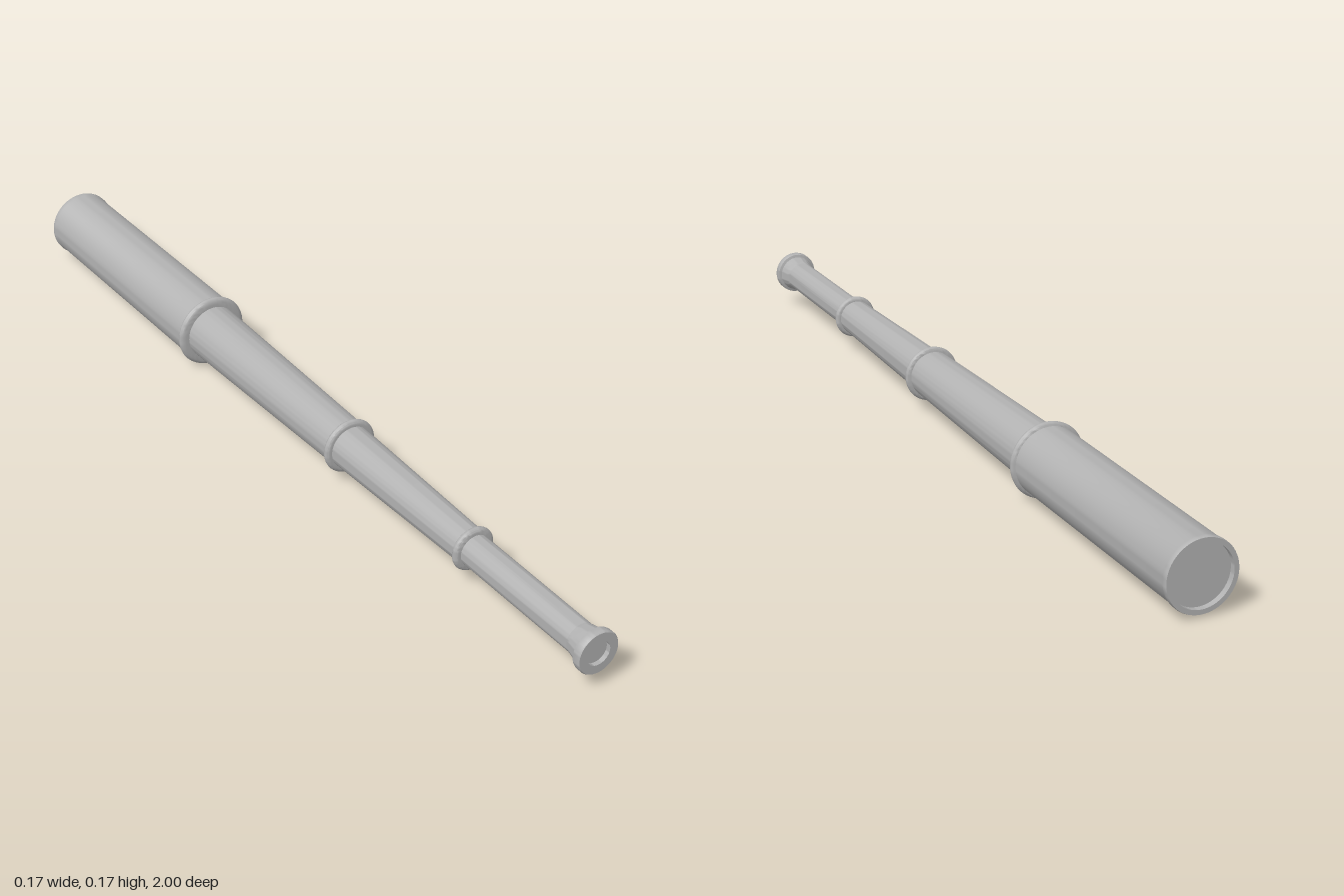
import * as THREE from 'three';
import { toCreasedNormals } from 'three/addons/utils/BufferGeometryUtils.js';

const AXIS_HEIGHT = 0.083;

export function createModel() {
  const model = new THREE.Group();
  model.name = 'spyglass';
  const metal = new THREE.MeshStandardMaterial({ color: 0xb2b2b2 });
  metal.name = 'grey metal';

  // Turn a profile of [radius, z] points, listed from back to front, around the long axis
  function turned(name, profile) {
    const points = profile.map(([r, z]) => new THREE.Vector2(r, z));
    const lathe = new THREE.LatheGeometry(points, 64).rotateX(Math.PI / 2);
    const mesh = new THREE.Mesh(toCreasedNormals(lathe, 0.6), metal);
    mesh.name = name;
    mesh.position.y = AXIS_HEIGHT;
    model.add(mesh);
  }

  // Rounded collar where one tube slides into the next
  function collar(name, z, radius, inner, halfWidth) {
    const profile = [[inner, z - halfWidth]];
    const depth = (radius - inner) * 0.6;
    for (let i = 0; i <= 8; i++) {
      const a = -Math.PI / 2 + (i / 8) * Math.PI;
      profile.push([radius - depth + depth * Math.cos(a), z + halfWidth * Math.sin(a)]);
    }
    profile.push([inner, z + halfWidth]);
    turned(name, profile);
  }

  // Main barrel with a shallow recess and rim around the objective lens
  turned('mainBarrel', [
    [0.066, -0.985], [0.066, -1], [0.076, -1], [0.077, -0.997], [0.077, -0.988],
    [0.075, -0.984], [0.075, -0.39], [0, -0.39],
  ]);
  turned('objectiveLens', [[0, -0.987], [0.067, -0.987]]);

  // Tapering draw tubes
  turned('largeDrawTube', [[0.063, -0.4], [0.052, 0.175], [0, 0.175]]);
  turned('middleDrawTube', [[0.049, 0.16], [0.039, 0.61], [0, 0.61]]);
  turned('smallDrawTube', [[0.035, 0.6], [0.034, 0.965]]);

  // Collars
  collar('barrelCollar', -0.388, 0.083, 0.06, 0.009);
  collar('middleCollar', 0.172, 0.062, 0.047, 0.008);
  collar('smallCollar', 0.607, 0.049, 0.033, 0.008);

  // Flared eyepiece with a flange and a recessed lens
  turned('eyepiece', [
    [0.034, 0.945], [0.036, 0.955], [0.039, 0.968], [0.041, 0.979],
    [0.047, 0.981], [0.048, 0.984], [0.048, 0.997], [0.046, 1],
    [0.027, 1], [0.027, 0.988],
  ]);
  turned('eyeLens', [[0.028, 0.99], [0, 0.99]]);

  return model;
}
